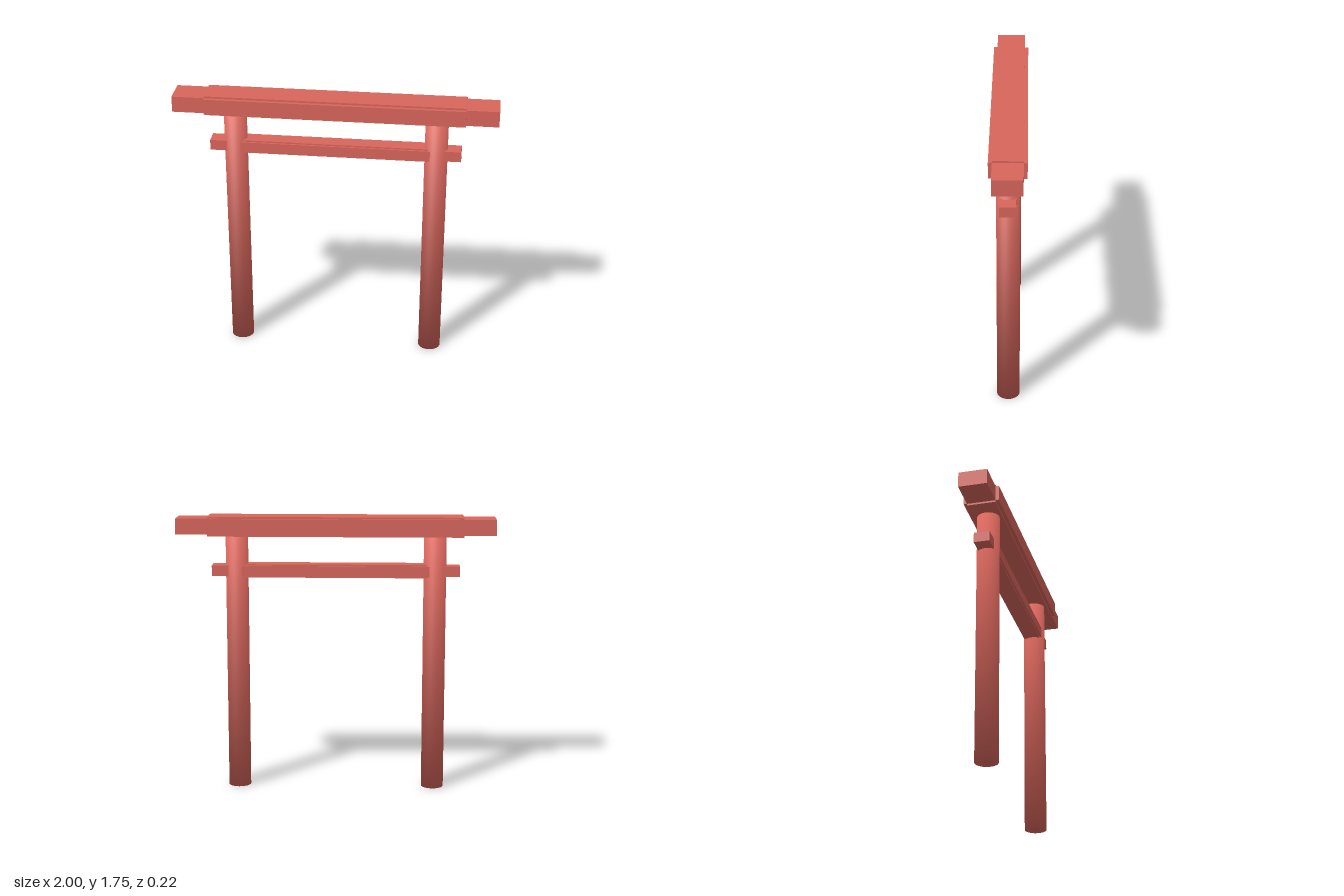
import * as THREE from 'three';

const red = new THREE.MeshStandardMaterial({ color: 0xd9665c });
red.name = 'vermilion';

function add(group, name, geometry, x, y, z) {
  const mesh = new THREE.Mesh(geometry, red);
  mesh.name = name;
  mesh.position.set(x, y, z);
  group.add(mesh);
}

// Bar along x whose four long edges are notched by a small step
function notchedBar(length, height, depth, stepY, stepZ) {
  const h = height / 2, d = depth / 2, hi = h - stepY, di = d - stepZ;
  const outline = [
    [di, h], [-di, h], [-di, hi], [-d, hi], [-d, -hi], [-di, -hi],
    [-di, -h], [di, -h], [di, -hi], [d, -hi], [d, hi], [di, hi],
  ].map(([x, y]) => new THREE.Vector2(x, y));
  const geometry = new THREE.ExtrudeGeometry(new THREE.Shape(outline), { depth: length, bevelEnabled: false });
  geometry.translate(0, 0, -length / 2);
  geometry.rotateY(Math.PI / 2);
  return geometry;
}

// Round post with normals blended softly over the rims
function softPost(radius, height) {
  const geometry = new THREE.CylinderGeometry(radius, radius, height, 32);
  const { position, normal } = geometry.attributes;
  const n = new THREE.Vector3();
  for (let i = 0; i < position.count; i++) {
    n.fromBufferAttribute(position, i);
    n.y = Math.sign(n.y) * radius;
    n.normalize();
    normal.setXYZ(i, n.x, n.y, n.z);
  }
  return geometry;
}

export function createModel() {
  const gate = new THREE.Group();
  gate.name = 'gate';

  // Two posts, tucked into the top beam
  for (const [side, name] of [[1, 'leftPost'], [-1, 'rightPost']]) {
    add(gate, name, softPost(0.071, 1.65), side * 0.624, 0.825, 0);
  }

  // Top beam and the thicker sleeve around its middle
  add(gate, 'topBeam', new THREE.BoxGeometry(2, 0.1, 0.18), 0, 1.69, 0);
  add(gate, 'topBeamSleeve', notchedBar(1.6, 0.124, 0.224, 0.012, 0.022), 0, 1.69, 0);

  // Tie beam through the posts, with a sleeve between them
  add(gate, 'tieBeam', new THREE.BoxGeometry(1.56, 0.066, 0.1), 0, 1.408, 0);
  add(gate, 'tieBeamSleeve', notchedBar(1.24, 0.084, 0.122, 0.009, 0.011), 0, 1.408, 0);

  return gate;
}
